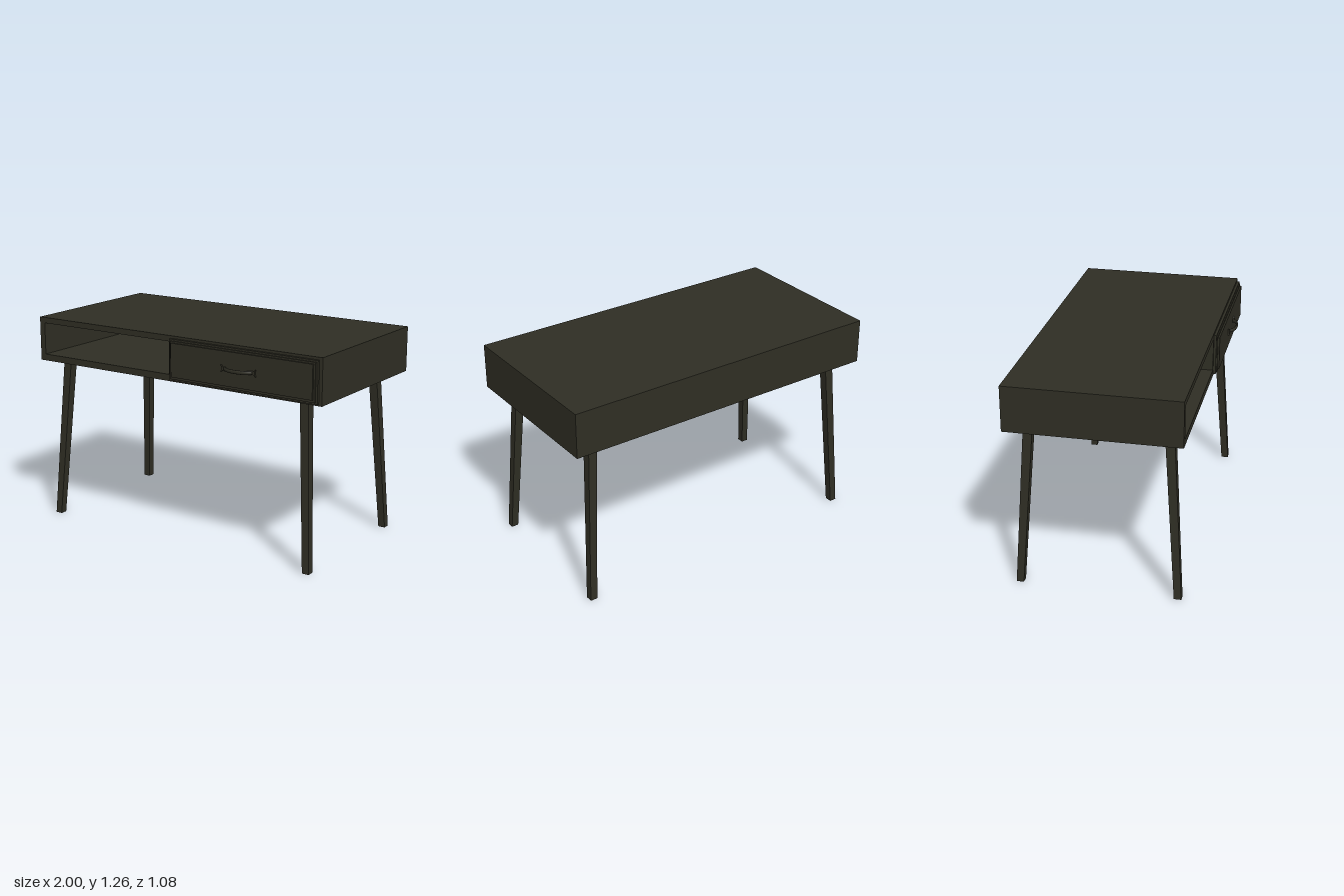
import * as THREE from 'three';

export function createModel() {
  const desk = new THREE.Group();
  desk.name = 'desk';
  const wood = new THREE.MeshStandardMaterial({ color: 0x2f2e24 });
  wood.name = 'dark wood';

  const add = (name, geometry, parent = desk) => {
    const mesh = new THREE.Mesh(geometry, wood);
    mesh.name = name;
    parent.add(mesh);
    return mesh;
  };
  // Box given by its limits on each axis
  const box = (name, [x0, x1], [y0, y1], [z0, z1], parent) =>
    add(name, new THREE.BoxGeometry(x1 - x0, y1 - y0, z1 - z0), parent)
      .position.set((x0 + x1) / 2, (y0 + y1) / 2, (z0 + z1) / 2);
  const rect = (path, x0, x1, y0, y1) =>
    path.moveTo(x0, y0).lineTo(x1, y0).lineTo(x1, y1).lineTo(x0, y1).closePath();

  // Case with an open shelf compartment on one side
  const outline = rect(new THREE.Shape(), -1, 1, 0.99, 1.26);
  outline.holes.push(rect(new THREE.Path(), -0.963, -0.017, 1.03, 1.225));
  const caseGeometry = new THREE.ExtrudeGeometry(outline, { depth: 0.97, bevelEnabled: false });
  caseGeometry.translate(0, 0, -0.505);
  add('case', caseGeometry);
  box('backPanel', [-1, 1], [0.99, 1.26], [-0.542, -0.505]);

  // Drawer front with a stepped edge
  const drawer = new THREE.Group();
  drawer.name = 'drawer';
  desk.add(drawer);
  box('drawerFrame', [-0.003, 0.98], [1.0, 1.245], [0.46, 0.48], drawer);
  box('drawerMoulding', [0.008, 0.968], [1.01, 1.235], [0.48, 0.487], drawer);
  box('drawerPanel', [0.018, 0.957], [1.025, 1.225], [0.487, 0.497], drawer);

  // Bowed handle with a flared foot at each end
  const handle = new THREE.Group();
  handle.name = 'handle';
  handle.position.set(0.485, 1.126, 0.497);
  drawer.add(handle);
  const bow = new THREE.CatmullRomCurve3([
    [-0.093, 0], [-0.078, 0.018], [-0.045, 0.033], [0, 0.038],
    [0.045, 0.033], [0.078, 0.018], [0.093, 0],
  ].map(([x, z]) => new THREE.Vector3(x, 0, z)));
  add('handleBar', new THREE.TubeGeometry(bow, 32, 0.007, 10), handle).scale.y = 1.6;
  for (const side of [-1, 1]) {
    // Foot plate widens towards the outer end
    const foot = new THREE.Shape();
    foot.moveTo(side * 0.085, -0.01);
    foot.lineTo(side * 0.1, -0.009);
    foot.lineTo(side * 0.115, -0.021);
    foot.quadraticCurveTo(side * 0.108, 0, side * 0.115, 0.021);
    foot.lineTo(side * 0.1, 0.009);
    foot.lineTo(side * 0.085, 0.01);
    foot.closePath();
    add('handleFoot', new THREE.ExtrudeGeometry(foot, { depth: 0.01, bevelEnabled: false }), handle);
  }

  // Splayed legs, tapering to the floor
  const legs = [['frontLeg', 0.367, 0.432], ['backLeg', -0.428, -0.492]];
  for (const [name, topZ, footZ] of legs) {
    for (const side of [-1, 1]) {
      const geometry = new THREE.BoxGeometry(1, 1, 1);
      const p = geometry.attributes.position;
      for (let i = 0; i < p.count; i++) {
        const top = p.getY(i) > 0;
        const width = top ? 0.054 : 0.043;
        p.setXYZ(i,
          side * (top ? 0.847 : 0.91) + p.getX(i) * width,
          top ? 0.995 : 0,
          (top ? topZ : footZ) + p.getZ(i) * width);
      }
      geometry.computeVertexNormals();
      add(name, geometry);
    }
  }
  return desk;
}
